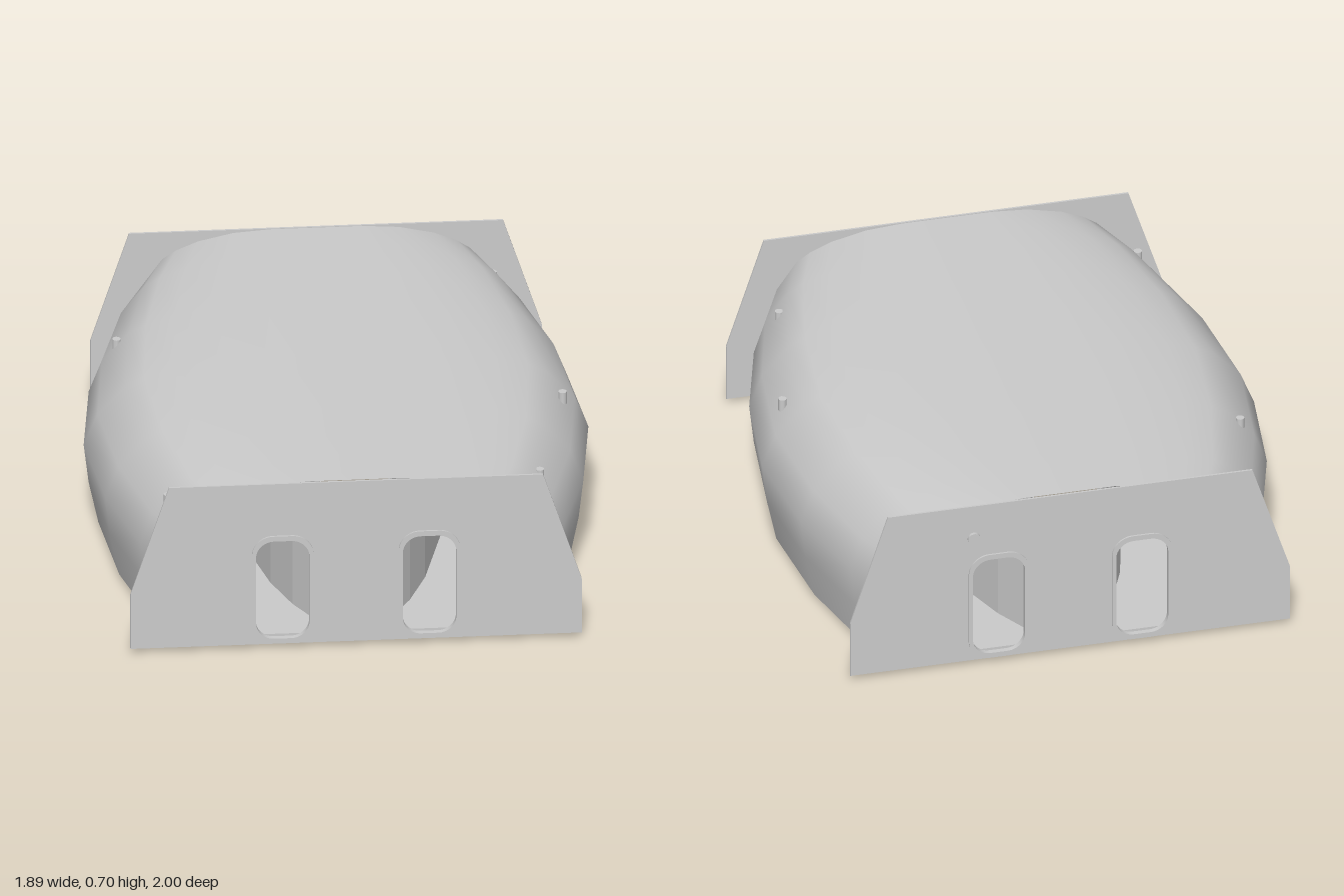
import * as THREE from 'three';

const mat = new THREE.MeshStandardMaterial({ color: 0xcccccc, side: THREE.DoubleSide });

// half width of the hull at stations along z (mirrored front to back)
const STATIONS = [[-0.975, 0.69], [-0.77, 0.79], [-0.41, 0.895], [0, 0.945], [0.41, 0.895], [0.77, 0.79], [0.975, 0.69]];
// right half of the hull section: x as a share of the half width, y
const SECTION = [[0.942, 0.02], [0.98, 0.19], [1, 0.35], [0.945, 0.48], [0.835, 0.59],
  [0.76, 0.625], [0.64, 0.66], [0.45, 0.69], [0.25, 0.7], [0, 0.7]];
// half outline of the inner court: x, z
const COURT = [[0.13, -0.97], [0.13, -0.9], [0.22, -0.75], [0.29, -0.58], [0.375, -0.25],
  [0.375, 0.25], [0.29, 0.58], [0.22, 0.75], [0.13, 0.9], [0.13, 0.97]];

function add(parent, name, geometry, x = 0, y = 0, z = 0) {
  const mesh = new THREE.Mesh(geometry, mat);
  mesh.name = name;
  mesh.position.set(x, y, z);
  parent.add(mesh);
  return mesh;
}

// closed outline from one half, mirrored in x
function mirrored(half, sx = 1, sz = 1) {
  return [...half.map(([x, z]) => new THREE.Vector2(x * sx, z * sz)),
    ...half.slice().reverse().map(([x, z]) => new THREE.Vector2(-x * sx, z * sz))];
}

// horizontal slab from an x/z shape, top at y = 0
function slab(shape, depth) {
  return new THREE.ExtrudeGeometry(shape, { depth, bevelEnabled: false }).rotateX(Math.PI / 2);
}

function roundedRect(path, cx, cy, w, h, r) {
  const x = cx - w / 2, y = cy - h / 2;
  path.moveTo(x + r, y);
  path.lineTo(x + w - r, y);
  path.absarc(x + w - r, y + r, r, -Math.PI / 2, 0);
  path.lineTo(x + w, y + h - r);
  path.absarc(x + w - r, y + h - r, r, 0, Math.PI / 2);
  path.lineTo(x + r, y + h);
  path.absarc(x + r, y + h - r, r, Math.PI / 2, Math.PI);
  path.lineTo(x, y + r);
  path.absarc(x + r, y + r, r, Math.PI, Math.PI * 1.5);
  return path;
}

// smooth shell lofted through the stations
function hullGeometry() {
  const left = SECTION.slice(0, -1).map(([x, y]) => [-x, y]);
  const ring = [...SECTION, ...left.reverse()];
  const pos = [], index = [], n = ring.length;
  STATIONS.forEach(([z, hw], i) => {
    ring.forEach(([x, y], j) => {
      pos.push(x * hw, y, z);
      if (i && j) {
        const a = (i - 1) * n + j - 1, b = a + n;
        index.push(a, a + 1, b, a + 1, b + 1, b);
      }
    });
  });
  const g = new THREE.BufferGeometry();
  g.setAttribute('position', new THREE.Float32BufferAttribute(pos, 3));
  g.setIndex(index);
  g.computeVertexNormals();
  return g;
}

// end plate with two doorways and their raised rims, facing +z
function endWall(name) {
  const wall = new THREE.Group();
  wall.name = name;
  const plate = new THREE.Shape(mirrored([[0.845, 0.02], [0.845, 0.25], [0.7, 0.7]]));
  for (const s of [-1, 1]) {
    plate.holes.push(roundedRect(new THREE.Path(), s * 0.275, 0.252, 0.206, 0.42, 0.07));
    const rim = roundedRect(new THREE.Shape(), s * 0.275, 0.252, 0.23, 0.456, 0.08);
    rim.holes.push(roundedRect(new THREE.Path(), s * 0.275, 0.252, 0.2, 0.414, 0.068));
    add(wall, 'doorRim', new THREE.ExtrudeGeometry(rim, { depth: 0.022, bevelEnabled: false }), 0, 0, 0.973);
  }
  add(wall, 'endPlate', new THREE.ExtrudeGeometry(plate, { depth: 0.008, bevelEnabled: false }), 0, 0, 0.98);
  return wall;
}

export function createModel() {
  const model = new THREE.Group();
  model.name = 'barrelRoofedModule';

  add(model, 'hull', hullGeometry());

  // floor around the open court
  const floor = new THREE.Shape(mirrored(STATIONS.map(([z, hw]) => [hw * 0.942, z])));
  floor.holes.push(new THREE.Path(mirrored(COURT)));
  add(model, 'floor', slab(floor, 0.035), 0, 0.055, 0);

  // thin wall between the court and the two corridors
  const wall = new THREE.Shape(mirrored(COURT));
  wall.holes.push(new THREE.Path(mirrored(COURT, 0.97, 0.995)));
  add(model, 'courtWall', slab(wall, 0.65), 0, 0.67, 0);

  const front = endWall('frontWall');
  const back = endWall('backWall');
  back.rotation.y = Math.PI;
  model.add(front, back);

  // small studs on the shoulders of the hull
  for (const [x, z] of [[0.84, 0.11], [0.71, 0.7], [0.65, -0.83], [-0.79, -0.42], [-0.69, 0.79]]) {
    add(model, 'stud', new THREE.CylinderGeometry(0.016, 0.016, 0.05, 10), x, 0.54, z);
  }
  // small feet under the floor
  for (const [x, z] of [[0.83, 0.09], [0.72, 0.68], [0.67, -0.82]]) {
    add(model, 'foot', new THREE.CylinderGeometry(0.012, 0.012, 0.03, 10), x, 0.015, z);
  }
  // small lamp high on the back wall
  add(model, 'backLamp', new THREE.CylinderGeometry(0.025, 0.025, 0.02, 12).rotateX(Math.PI / 2), 0.37, 0.56, -0.99);
  return model;
}
